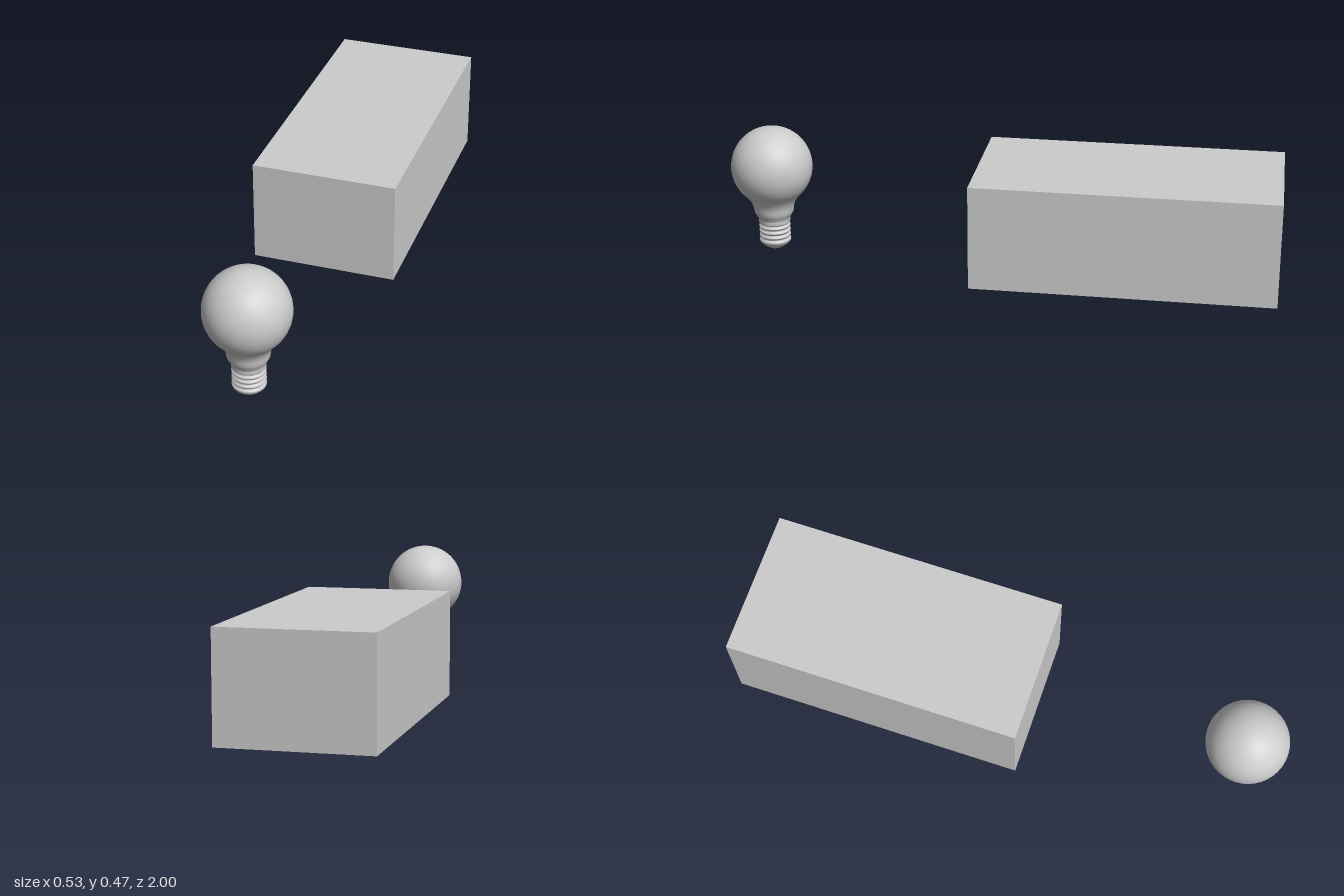
import * as THREE from 'three';

const grey = new THREE.MeshStandardMaterial({ color: 0xcccccc });
grey.name = 'plain grey';

function lathe(name, points, parent) {
  const geometry = new THREE.LatheGeometry(points.map(([r, y]) => new THREE.Vector2(r, y)), 40);
  const mesh = new THREE.Mesh(geometry, grey);
  mesh.name = name;
  parent.add(mesh);
}

export function createModel() {
  const model = new THREE.Group();
  model.name = 'bulbAndBox';

  // Closed box at the back
  const box = new THREE.Mesh(new THREE.BoxGeometry(0.53, 0.381, 1.08), grey);
  box.name = 'box';
  box.position.set(0, 0.1955, -0.46);
  model.add(box);

  // Light bulb in front
  const bulb = new THREE.Group();
  bulb.name = 'lightBulb';
  bulb.position.set(0, 0, 0.852);
  model.add(bulb);

  // Glass: flared neck running into a round globe
  const glass = [
    [0.058, 0.122], [0.061, 0.13], [0.067, 0.14], [0.072, 0.15], [0.073, 0.162],
    [0.076, 0.177], [0.083, 0.193], [0.094, 0.209], [0.106, 0.222],
  ];
  const radius = 0.148, centre = 0.3245;
  for (let i = 0; i <= 24; i++) {
    const a = THREE.MathUtils.lerp(-0.69, Math.PI / 2, i / 24);
    glass.push([Math.max(0, radius * Math.cos(a)), centre + radius * Math.sin(a)]);
  }
  lathe('glass', glass, bulb);

  // Screw base: rounded tip, four thread ridges and a collar
  const base = [[0, 0], [0.01, 0.001], [0.022, 0.005], [0.036, 0.013], [0.048, 0.023], [0.057, 0.032]];
  const ridges = 4, pitch = 0.0183, start = 0.0385;
  for (let i = 0; i <= ridges * 8 - 4; i++) {
    const t = i / 8;
    base.push([0.0548 + 0.0032 * Math.cos(t * Math.PI * 2), start + t * pitch]);
  }
  base.push([0.0525, 0.104], [0.056, 0.106], [0.058, 0.11], [0.058, 0.122]);
  lathe('screwBase', base, bulb);

  return model;
}
